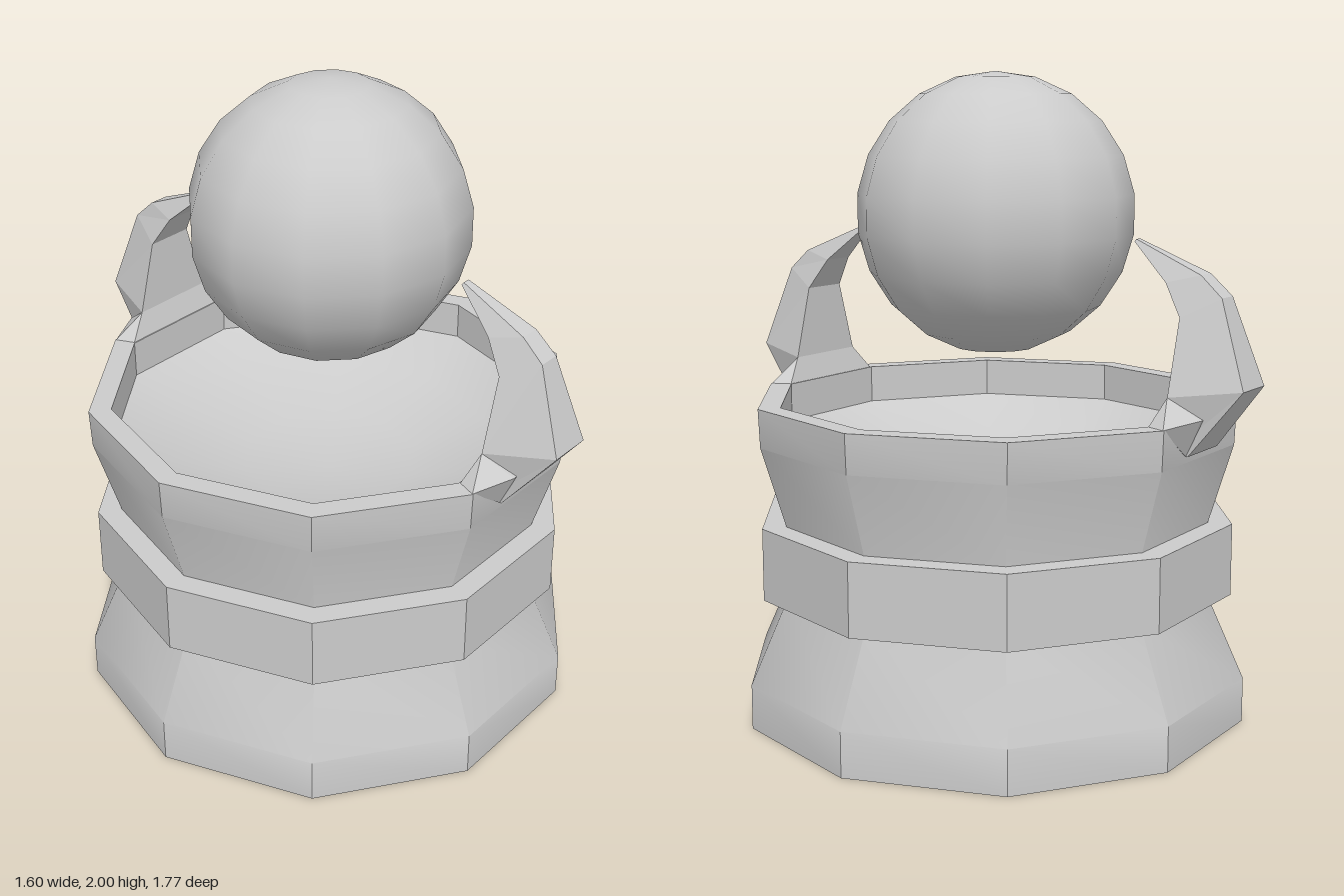
import * as THREE from 'three';
import { toCreasedNormals } from 'three/addons/utils/BufferGeometryUtils.js';
import { ConvexGeometry } from 'three/addons/geometries/ConvexGeometry.js';

const smooth = new THREE.MeshStandardMaterial({ color: 0xcccccc });
const flat = new THREE.MeshStandardMaterial({ color: 0xcccccc, flatShading: true });

function add(parent, name, geometry, material) {
  const mesh = new THREE.Mesh(geometry, material);
  mesh.name = name;
  parent.add(mesh);
  return mesh;
}

// Ten-sided turned part with corners on the x axis; soft slopes, sharp corners
function turned(profile) {
  const points = profile.map(([r, y]) => new THREE.Vector2(r, y));
  return toCreasedNormals(new THREE.LatheGeometry(points, 10, Math.PI / 2), 0.61);
}

// Claw from four-cornered sections: [outer half width, y, z, inner half width, y, z]
function clawGeometry() {
  const sections = [
    [0.095, 0.9, 0.727, 0.11, 0.92, 0.69],
    [0.07, 1.1, 0.886, 0.145, 1.077, 0.684],
    [0.035, 1.358, 0.796, 0.08, 1.3, 0.685],
    [0.032, 1.42, 0.727, 0.055, 1.395, 0.625],
    [0.012, 1.512, 0.504, 0.016, 1.505, 0.5],
  ];
  const positions = [];
  const index = [];
  for (const [wo, yo, zo, wi, yi, zi] of sections) {
    positions.push(-wo, yo, zo, wo, yo, zo, wi, yi, zi, -wi, yi, zi);
  }
  for (let s = 0; s < sections.length - 1; s++) {
    for (let k = 0; k < 4; k++) {
      const a = s * 4 + k;
      const b = s * 4 + (k + 1) % 4;
      index.push(a, b, b + 4, a, b + 4, a + 4);
    }
  }
  const t = (sections.length - 1) * 4;
  index.push(0, 2, 1, 0, 3, 2, t, t + 1, t + 2, t, t + 2, t + 3);
  const geometry = new THREE.BufferGeometry();
  geometry.setAttribute('position', new THREE.Float32BufferAttribute(positions, 3));
  geometry.setIndex(index);
  geometry.computeVertexNormals();
  return geometry;
}

// Flared root that joins a claw to the rim
function rootGeometry() {
  const half = [
    [0.235, 1, 0.72], [0.21, 1, 0.66], [0.145, 1.077, 0.684],
    [0.11, 1.013, 0.775], [0.095, 0.9, 0.722],
  ];
  return new ConvexGeometry(half.flatMap(([x, y, z]) => [
    new THREE.Vector3(x, y, z), new THREE.Vector3(-x, y, z),
  ]));
}

export function createModel() {
  const model = new THREE.Group();
  model.name = 'orbPedestal';

  // Flared foot
  add(model, 'foot', turned([[0, 0], [0.8, 0], [0.8, 0.14], [0.68, 0.405], [0.68, 0.42]]), smooth);

  // Raised band around the waist
  add(model, 'band', turned([[0.66, 0.405], [0.755, 0.405], [0.755, 0.63], [0.66, 0.63]]), smooth);

  // Bowl with a flat rim and a dished floor
  add(model, 'bowl', turned([
    [0.68, 0.62], [0.68, 0.63], [0.755, 0.88], [0.76, 1], [0.69, 1],
    [0.69, 0.88], [0.52, 0.79], [0.28, 0.72], [0, 0.69],
  ]), smooth);

  // Floating orb
  const orb = add(model, 'orb', new THREE.SphereGeometry(0.433, 12, 11), smooth);
  orb.position.y = 1.567;

  // Front and back claws
  for (const [name, turn] of [['frontClaw', 0], ['backClaw', Math.PI]]) {
    const claw = new THREE.Group();
    claw.name = name;
    add(claw, 'talon', clawGeometry(), flat);
    add(claw, 'root', rootGeometry(), flat);
    claw.rotation.y = turn;
    model.add(claw);
  }
  return model;
}
